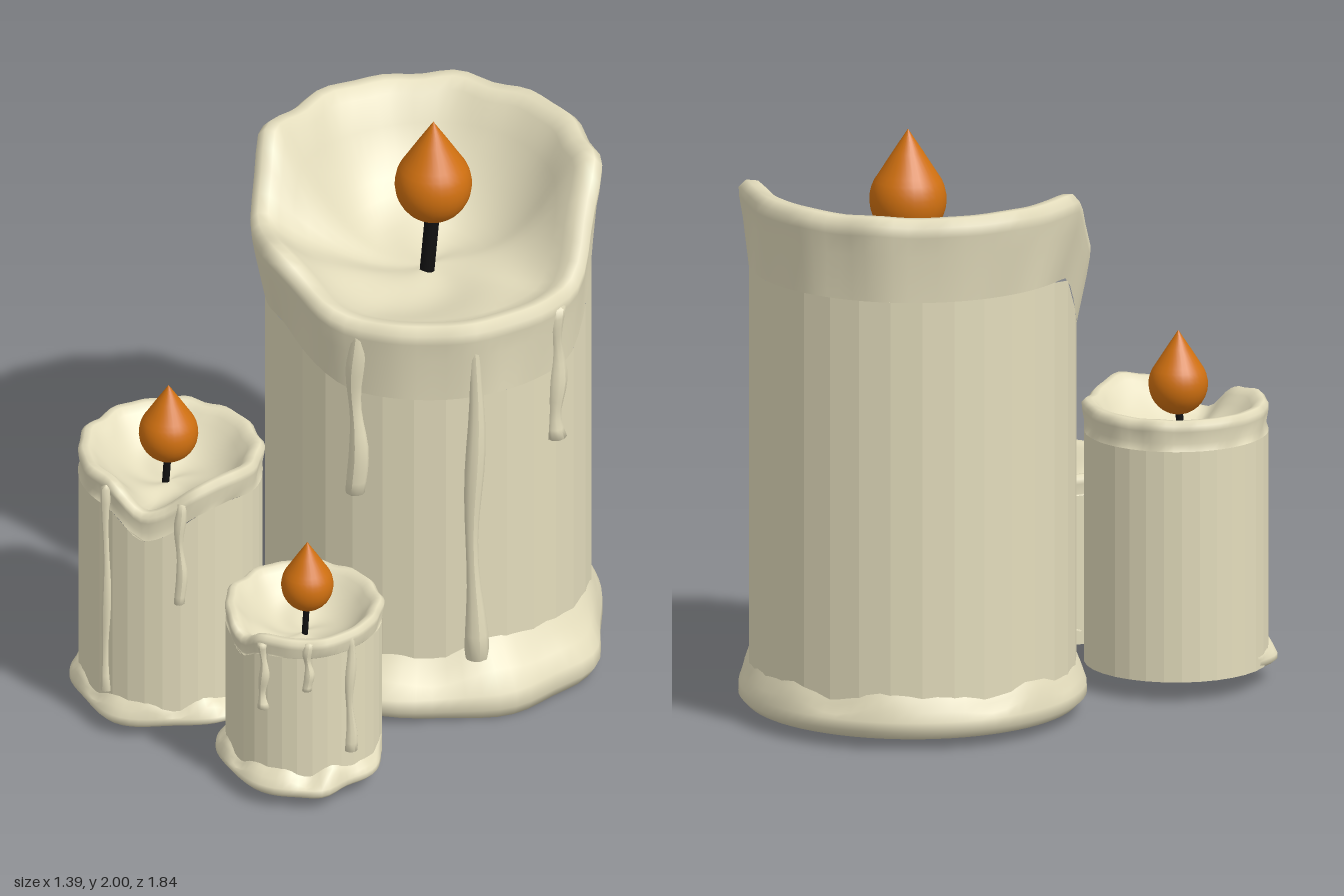
import * as THREE from 'three';

const RAD = Math.PI / 180;
const wax = new THREE.MeshStandardMaterial({ color: 0xe3dcbc });
const facetedWax = new THREE.MeshStandardMaterial({ color: 0xe3dcbc, flatShading: true });
const flameMat = new THREE.MeshStandardMaterial({ color: 0xd07010 });
const wickMat = new THREE.MeshStandardMaterial({ color: 0x111111 });

// Rules in degrees around a candle: 0 is the front, 90 is +x
const step = THREE.MathUtils.smoothstep;
const bump = (d, at, size, width) => size * Math.exp(-(((d - at) / width) ** 2));
const around = (rule) => (a) => rule(a > Math.PI ? a / RAD - 360 : a / RAD);

// Skin over closed rings; each ring maps an angle to [radius, height]
function loft(rings, segs) {
  const pos = [], index = [];
  rings.forEach((ring, i) => {
    for (let j = 0; j < segs; j++) {
      const a = (j / segs) * Math.PI * 2;
      const [r, y] = ring(a);
      pos.push(r * Math.sin(a), y, r * Math.cos(a));
      if (i === rings.length - 1) continue;
      const k = (j + 1) % segs, p = i * segs, q = p + segs;
      index.push(p + j, p + k, q + k, p + j, q + k, q + j);
    }
  });
  const g = new THREE.BufferGeometry();
  g.setAttribute('position', new THREE.Float32BufferAttribute(pos, 3));
  g.setIndex(index);
  g.computeVertexNormals();
  return g;
}

// Run of wax hanging on the wall, lumpy and ending in a bead
function dripGeometry(length, width, seed) {
  const pts = [new THREE.Vector2(0, 0)];
  const n = 14;
  for (let i = 0; i <= n; i++) {
    const t = i / n;
    const lump = 0.82 + 0.2 * Math.sin(t * 11 + seed) + 0.3 * Math.max(0, 1 - t * 5);
    pts.push(new THREE.Vector2(width * lump, length * (0.015 + 0.97 * t)));
  }
  pts.push(new THREE.Vector2(0, length));
  const g = new THREE.LatheGeometry(pts, 10);
  const p = g.attributes.position;
  for (let i = 0; i < p.count; i++) {
    p.setX(i, p.getX(i) + width * 0.25 * Math.sin((p.getY(i) / length) * 9 + seed));
  }
  g.computeVertexNormals();
  return g;
}

// Teardrop: a round bowl below, tapering straight to the tip
function flameGeometry(radius, height) {
  const pts = [];
  for (let i = 0; i <= 12; i++) {
    const b = (i / 12) * 130 * RAD;
    pts.push(new THREE.Vector2(radius * Math.sin(b), height * 0.36 * (1 - Math.cos(b))));
  }
  pts.push(new THREE.Vector2(radius * 0.4, height * 0.79));
  pts.push(new THREE.Vector2(0, height));
  return new THREE.LatheGeometry(pts, 28);
}

function buildCandle(c) {
  const group = new THREE.Group();
  group.name = c.name;
  group.position.set(c.x, 0, c.z);
  const add = (name, geometry, material) => {
    const mesh = new THREE.Mesh(geometry, material);
    mesh.name = name;
    group.add(mesh);
    return mesh;
  };
  const top = around(c.top), lip = around(c.lip), foot = around(c.foot);
  const low = around(c.low), footTop = around(c.footTop);
  const w = c.lipWidth, R = c.R;

  // Faceted wall
  const shoulder = (a) => [R, top(a) - c.flare - w * 0.4];
  add('wall', loft([() => [0, c.base], () => [R, c.base], shoulder], 32), facetedWax);

  // Rolled lip and melted bowl
  const wobble = (a) => w * 0.06 * (Math.sin(9 * a) + Math.sin(14 * a + 1));
  const rings = [shoulder];
  const lipProfile = [[0.14, -1.3], [0.02, -0.6], [0, -0.25], [0.25, 0], [0.6, -0.03], [0.95, -0.35]];
  for (const [inset, drop] of lipProfile) {
    rings.push((a) => [lip(a) - inset * w + wobble(a), top(a) + drop * w + wobble(a) * 0.5]);
  }
  for (let i = 9; i >= 0; i--) {
    const t = i / 10;
    rings.push((a) => {
      const edge = top(a) - 0.35 * w;
      const ripple = w * 0.5 * Math.sin(3 * a + 5 * t) * t * (1 - t);
      return [(lip(a) - 0.95 * w) * t, c.floor + (edge - c.floor) * Math.pow(t, 2.6) + ripple];
    });
  }
  add('meltedTop', loft(rings, 72), wax);

  // Puddle of wax around the base
  const lumps = (a) => 0.012 * Math.sin(7 * a) + 0.008 * Math.sin(12 * a + 2);
  const spread = (a, t) => R + (foot(a) - R) * t;
  const rise = (a, t) => low(a) + (footTop(a) - low(a)) * t;
  add('waxPuddle', loft([
    () => [0, low(0)],
    (a) => [foot(a) - R * 0.05, low(a)],
    (a) => [foot(a), rise(a, 0.18)],
    (a) => [spread(a, 0.95), rise(a, 0.4)],
    (a) => [spread(a, 0.55), rise(a, 0.6) + lumps(a)],
    (a) => [spread(a, 0.2), rise(a, 0.8) + lumps(a)],
    (a) => [R - 0.01, rise(a, 1) + lumps(a)],
  ], 72), wax);

  // Runs of wax down the wall
  c.drips.forEach(([deg, y0, y1, width], i) => {
    const drip = add('drip', dripGeometry(y1 - y0, width, i * 2 + R * 10), wax);
    const a = deg * RAD;
    drip.position.set(R * Math.sin(a), y0, R * Math.cos(a));
    drip.rotation.y = a;
  });

  // Wick, leaning slightly from the pool up into the flame
  const f = c.flame;
  const from = new THREE.Vector3(f.x - c.wick * 0.5, c.floor - 0.03, f.z + c.wick * 0.8);
  const to = new THREE.Vector3(f.x, f.y0 + 0.05, f.z);
  const dir = to.clone().sub(from);
  const wick = add('wick', new THREE.CylinderGeometry(c.wick, c.wick, dir.length(), 10), wickMat);
  wick.position.copy(from).lerp(to, 0.5);
  wick.quaternion.setFromUnitVectors(new THREE.Vector3(0, 1, 0), dir.normalize());

  add('flame', flameGeometry(f.r, f.y1 - f.y0), flameMat).position.set(f.x, f.y0, f.z);
  return group;
}

export function createModel() {
  const model = new THREE.Group();
  model.name = 'candles';
  // Tall at the back, melted down at the front and right
  model.add(buildCandle({
    name: 'largeCandle', x: 0.02, z: -0.33, R: 0.55, base: 0.06, floor: 1.42, lipWidth: 0.1, flare: 0.25,
    top: (d) => 1.835 - 0.22 * step(d, -72, -46) - 0.1 * step(d, -25, 15)
      + 0.32 * step(d, 95, 135) + bump(d, -25, 0.03, 12),
    lip: (d) => 0.572 + bump(d, -50, 0.025, 60),
    foot: (d) => 0.585 + bump(d, 22, 0.09, 28) + bump(d, 66, 0.08, 18) + bump(d, 95, 0.08, 14),
    low: (d) => 0.036 - bump(d, 70, 0.036, 45),
    footTop: (d) => 0.19 + bump(d, 75, 0.07, 45),
    drips: [[13, 0.82, 1.5, 0.035], [55, 0.18, 1.5, 0.034], [90, 0.95, 1.48, 0.034]],
    flame: { x: 0.03, z: 0.01, r: 0.13, y0: 1.62, y1: 2 }, wick: 0.026,
  }));
  model.add(buildCandle({
    name: 'mediumCandle', x: -0.39, z: 0.54, R: 0.31, base: 0.07, floor: 0.83, lipWidth: 0.06, flare: 0.08,
    top: (d) => 0.972 - bump(d, 20, 0.09, 15) - bump(d, 38, 0.04, 12) + bump(d, 78, 0.03, 20),
    lip: (d) => 0.31 + bump(d, 75, 0.015, 30),
    foot: (d) => 0.3 + bump(d, 5, 0.05, 25) + bump(d, -45, 0.04, 22) + bump(d, 75, 0.07, 30),
    low: (d) => 0.07 - bump(d, 10, 0.03, 50),
    footTop: () => 0.135,
    drips: [[-5, 0.13, 0.95, 0.018], [45, 0.53, 0.93, 0.02]],
    flame: { x: 0, z: 0.01, r: 0.1, y0: 0.92, y1: 1.21 }, wick: 0.013,
  }));
  model.add(buildCandle({
    name: 'smallCandle', x: 0.248, z: 0.62, R: 0.263, base: 0.06, floor: 0.52, lipWidth: 0.05, flare: 0.05,
    top: (d) => 0.645 - bump(d, -14, 0.045, 13) + bump(d, 90, 0.01, 30),
    lip: (d) => 0.265 + bump(d, 60, 0.012, 40),
    foot: (d) => 0.26 + bump(d, 15, 0.05, 35) + bump(d, 52, 0.04, 14)
      + bump(d, -50, 0.035, 28) + bump(d, 90, 0.035, 20),
    low: (d) => 0.06 - bump(d, 30, 0.015, 50),
    footTop: () => 0.135,
    drips: [[8, 0.36, 0.62, 0.019], [42, 0.45, 0.64, 0.018], [75, 0.18, 0.64, 0.02]],
    flame: { x: 0.015, z: 0, r: 0.088, y0: 0.62, y1: 0.88 }, wick: 0.011,
  }));
  return model;
}
